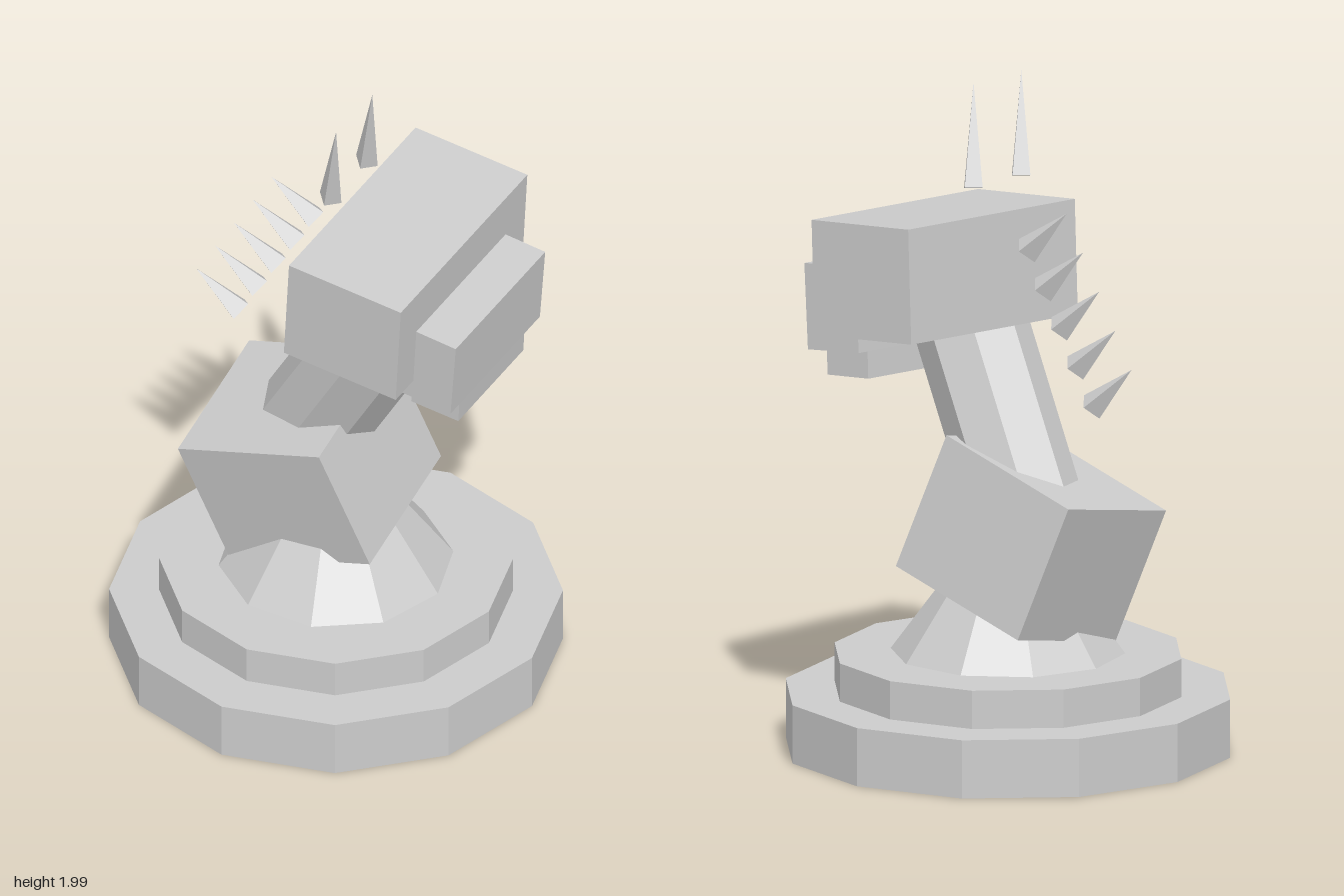
import * as THREE from 'three';

export function createModel() {
  const model = new THREE.Group();
  model.name = 'blockCreatureOnPlinth';
  const grey = new THREE.MeshStandardMaterial({ color: 0xcccccc });
  grey.name = 'stoneGrey';

  // Adds a faceted part, tipped about x first and then about z
  function add(name, geometry, position, tiltX = 0, tiltZ = 0) {
    const flat = geometry.toNonIndexed();
    flat.computeVertexNormals();
    const mesh = new THREE.Mesh(flat, grey);
    mesh.name = name;
    mesh.position.set(...position);
    mesh.rotation.set(tiltX, 0, tiltZ, 'ZXY');
    model.add(mesh);
    return mesh;
  }
  const box = (w, h, d) => new THREE.BoxGeometry(w, h, d);

  // Stepped twelve-sided plinth and ten-sided mound
  add('plinthLower', new THREE.CylinderGeometry(0.664, 0.664, 0.175, 12), [0, 0.0875, 0]);
  add('plinthUpper', new THREE.CylinderGeometry(0.518, 0.518, 0.115, 12), [0, 0.2325, 0]);
  const mound = new THREE.CylinderGeometry(0.15, 0.345, 0.265, 10);
  mound.rotateY(Math.PI / 10);
  add('mound', mound, [0, 0.4225, 0]);

  // Body, neck and head
  add('body', box(0.5, 0.425, 0.47), [-0.09, 0.642, 0], 0.2, 0.3);
  add('neck', new THREE.CylinderGeometry(0.168, 0.168, 0.67, 8), [0.055, 1.005, 0.012], 0.14, -0.535);
  add('head', box(0.38, 0.34, 0.73), [0.2125, 1.4175, -0.04], 0.05, -0.08);
  add('muzzle', box(0.2, 0.255, 0.515), [0.4255, 1.2925, -0.04], 0.05, -0.1);
  add('jaw', box(0.16, 0.14, 0.375), [0.422, 1.15, -0.045], 0.05, -0.08);

  // Floating pointed ears
  for (const [name, z] of [['leftEar', 0.14], ['rightEar', -0.07]]) {
    add(name, new THREE.ConeGeometry(0.037, 0.31, 4), [0.073, 1.842, z], 0.2, -0.18);
  }

  // Row of spines along the back of the neck
  for (let i = 0; i < 5; i++) {
    add('spine' + (i + 1), new THREE.ConeGeometry(0.043, 0.18, 4),
      [-0.136 - 0.0635 * i, 1.567 - 0.1075 * i, 0.018], 0.2, 0.785);
  }
  return model;
}
